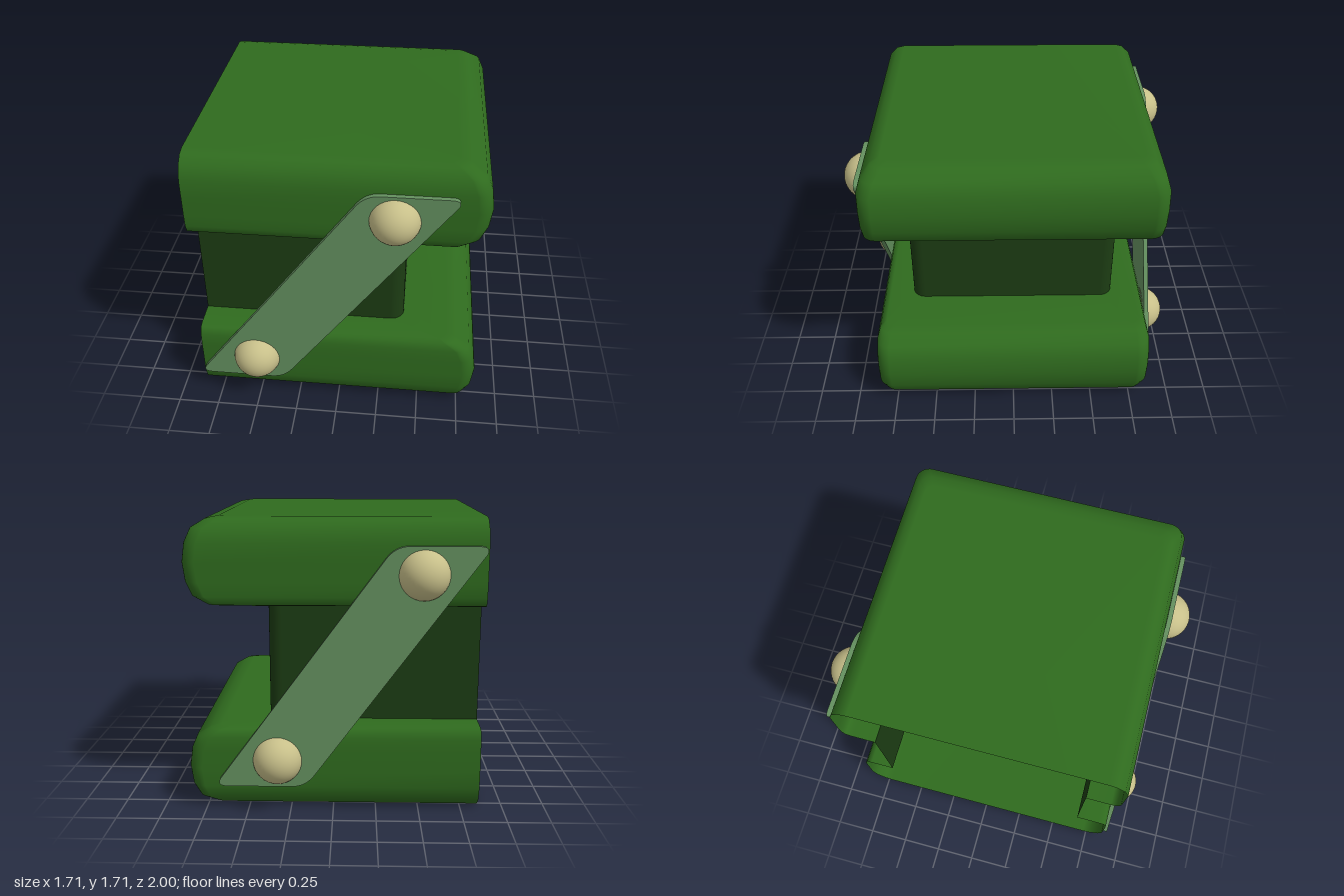
import * as THREE from 'three';

const OPEN_X = -0.855; // the shell is open on this side
const MID_Y = 0.855;   // the two pads mirror about this height

const material = (color) => new THREE.MeshStandardMaterial({ color, side: THREE.DoubleSide });

// U-shaped ring in plan: along +z, round the two +x corners, back along -z
function ring({ y, x, z, r }) {
  const points = [[OPEN_X, y, z]];
  const steps = 8;
  for (const s of [1, -1]) {
    for (let i = 0; i <= steps; i++) {
      const a = (s > 0 ? 1 - i / steps : i / steps) * Math.PI / 2;
      points.push([x - r + r * Math.cos(a), y, s * (z - r + r * Math.sin(a))]);
    }
  }
  points.push([OPEN_X, y, -z]);
  return points;
}

// Skin a stack of rings, lowest first
function loft(levels) {
  const rings = levels.map(ring);
  const n = rings[0].length;
  const index = [];
  for (let l = 0; l < rings.length - 1; l++) {
    for (let i = 0; i < n - 1; i++) {
      const a = l * n + i, d = a + n;
      index.push(a, a + 1, d + 1, a, d + 1, d);
    }
  }
  const geometry = new THREE.BufferGeometry();
  geometry.setAttribute('position', new THREE.Float32BufferAttribute(rings.flat(2), 3));
  geometry.setIndex(index);
  geometry.computeVertexNormals();
  return geometry;
}

export function createModel() {
  const group = new THREE.Group();
  const green = material(0x2f6b1e);
  const darkGreen = material(0x1c3c13);
  const paleGreen = material(0x64905f);
  const tan = material(0xc8c08a);
  const add = (parent, name, geometry, mat) => {
    const mesh = new THREE.Mesh(geometry, mat);
    mesh.name = name;
    parent.add(mesh);
    return mesh;
  };

  // Pad shells: flat floor, bulging nose, boxy sides, then the ledge in to the neck
  const lowerLevels = [
    [0, OPEN_X, 0, 0],
    [0, 0.65, 0.73, 0.05],
    [0.012, 0.72, 0.78, 0.07],
    [0.06, 0.80, 0.83, 0.08],
    [0.14, 0.835, 0.855, 0.08],
    [0.25, 0.85, 0.855, 0.08],
    [0.36, 0.835, 0.855, 0.08],
    [0.44, 0.80, 0.852, 0.08],
    [0.487, 0.72, 0.835, 0.07],
    [0.497, 0.66, 0.80, 0.06],
    [0.497, 0.39, 0.65, 0.08],
  ].map(([y, x, z, r]) => ({ y, x, z, r }));
  const upperLevels = lowerLevels.map((l) => ({ ...l, y: 2 * MID_Y - l.y })).reverse();
  add(group, 'lowerPad', loft(lowerLevels), green);
  add(group, 'upperPad', loft(upperLevels), green);

  // Neck between the pads
  const neckSize = { x: 0.39, z: 0.65, r: 0.08 };
  add(group, 'neck', loft([{ y: 0.497, ...neckSize }, { y: 1.213, ...neckSize }]), darkGreen);

  // Strap outline about its own centre; the second half is the first turned by 180 degrees
  const outline = new THREE.Shape();
  outline.moveTo(-0.75, -0.66);
  for (const s of [1, -1]) {
    outline.lineTo(s * -0.75, s * -0.66);
    outline.quadraticCurveTo(s * -0.77, s * -0.703, s * -0.71, s * -0.703);
    outline.lineTo(s * -0.33, s * -0.703);
    outline.quadraticCurveTo(s * -0.25, s * -0.703, s * -0.197, s * -0.63);
  }
  outline.closePath();
  const strapGeometry = new THREE.ExtrudeGeometry(outline, { depth: 0.028, bevelEnabled: false, curveSegments: 8 });
  const studGeometry = new THREE.SphereGeometry(0.145, 32, 12, 0, Math.PI * 2, 0, Math.PI / 2);
  studGeometry.rotateX(Math.PI / 2);

  // One strap with two domed studs on each side
  for (const side of ['front', 'back']) {
    const brace = new THREE.Group();
    brace.name = side + 'Brace';
    brace.position.set(-0.09, MID_Y + 0.003, 0);
    if (side === 'back') brace.rotation.y = Math.PI;
    add(brace, 'strap', strapGeometry, paleGreen).position.z = 0.857;
    for (const s of [-1, 1]) {
      add(brace, s < 0 ? 'lowerStud' : 'upperStud', studGeometry, tan).position.set(s * 0.413, s * 0.543, 0.855);
    }
    group.add(brace);
  }
  return group;
}
